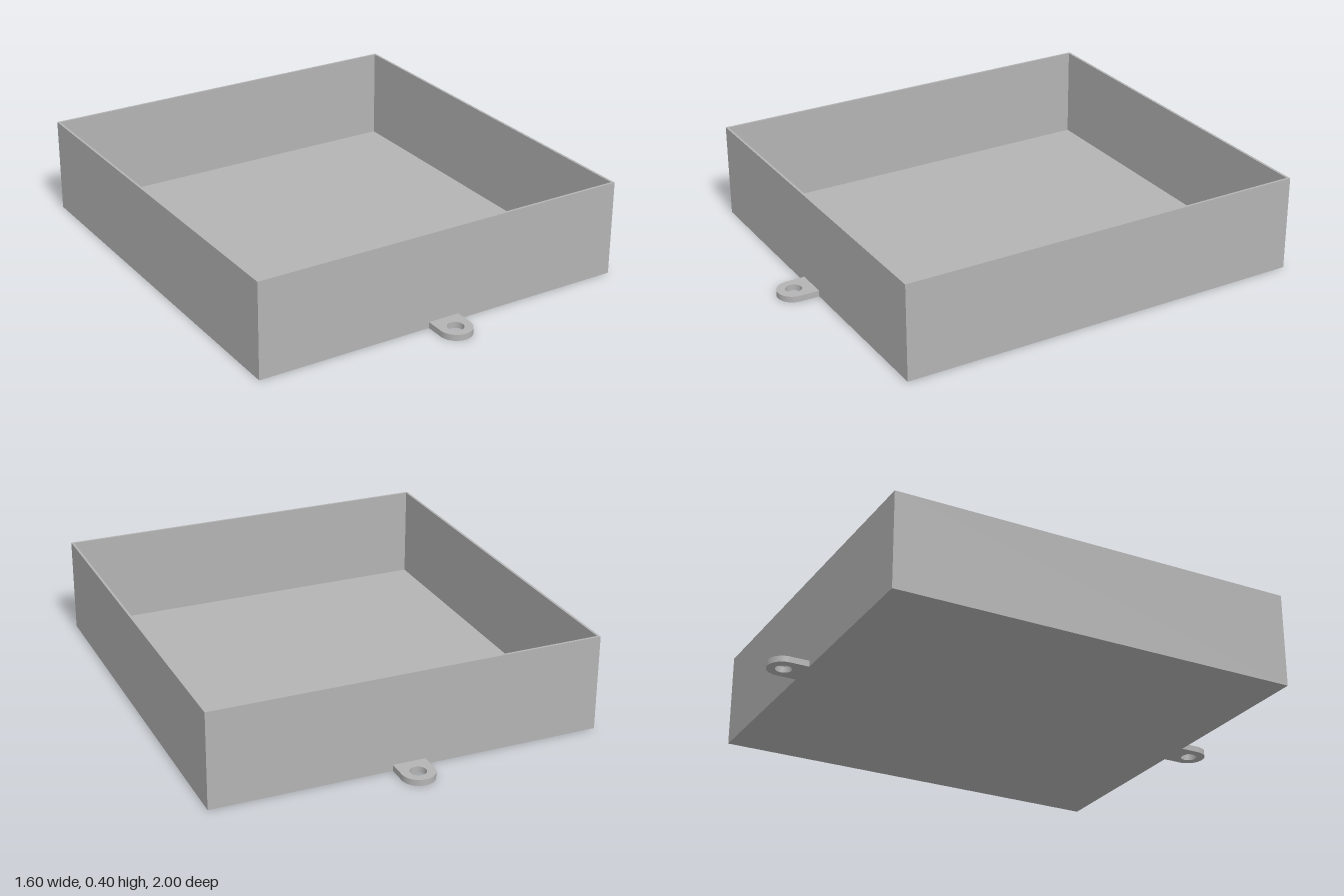
import * as THREE from 'three';

const W = 0.8, D = 0.855, H = 0.395; // half width, half depth, height
const WALL = 0.01, FLOOR = 0.01;
const TAB_R = 0.067, TAB_H = 0.025, HOLE_R = 0.033;

function rectangle(path, x, z) {
  path.moveTo(-x, -z);
  path.lineTo(x, -z);
  path.lineTo(x, z);
  path.lineTo(-x, z);
  path.closePath();
  return path;
}

// Extrudes a plan outline upwards from y = 0
function extrudeUp(shape, height) {
  const geometry = new THREE.ExtrudeGeometry(shape, { depth: height, bevelEnabled: false, curveSegments: 24 });
  return geometry.rotateX(-Math.PI / 2);
}

export function createModel() {
  const model = new THREE.Group();
  model.name = 'openTray';
  const grey = new THREE.MeshStandardMaterial({ color: 0xb3b3b3 });
  grey.name = 'grey';

  const add = (name, geometry) => {
    const mesh = new THREE.Mesh(geometry, grey);
    mesh.name = name;
    model.add(mesh);
    return mesh;
  };

  // Thin walls as one rectangular ring
  const ring = rectangle(new THREE.Shape(), W, D);
  ring.holes.push(rectangle(new THREE.Path(), W - WALL, D - WALL));
  add('walls', extrudeUp(ring, H));

  // Floor panel inside the walls
  add('floor', new THREE.BoxGeometry(2 * (W - WALL), FLOOR, 2 * (D - WALL))).position.y = FLOOR / 2;

  // Rounded mounting tab with a screw hole
  const centre = 1 - TAB_R;
  const tab = new THREE.Shape();
  tab.moveTo(-TAB_R, -D);
  tab.lineTo(-TAB_R, -centre);
  tab.absarc(0, -centre, TAB_R, Math.PI, 2 * Math.PI, false);
  tab.lineTo(TAB_R, -D);
  tab.closePath();
  const hole = new THREE.Path();
  hole.absarc(0, -centre, HOLE_R, 0, 2 * Math.PI, true);
  tab.holes.push(hole);
  const tabGeometry = extrudeUp(tab, TAB_H);
  add('frontTab', tabGeometry);
  add('backTab', tabGeometry).rotation.y = Math.PI;

  return model;
}
